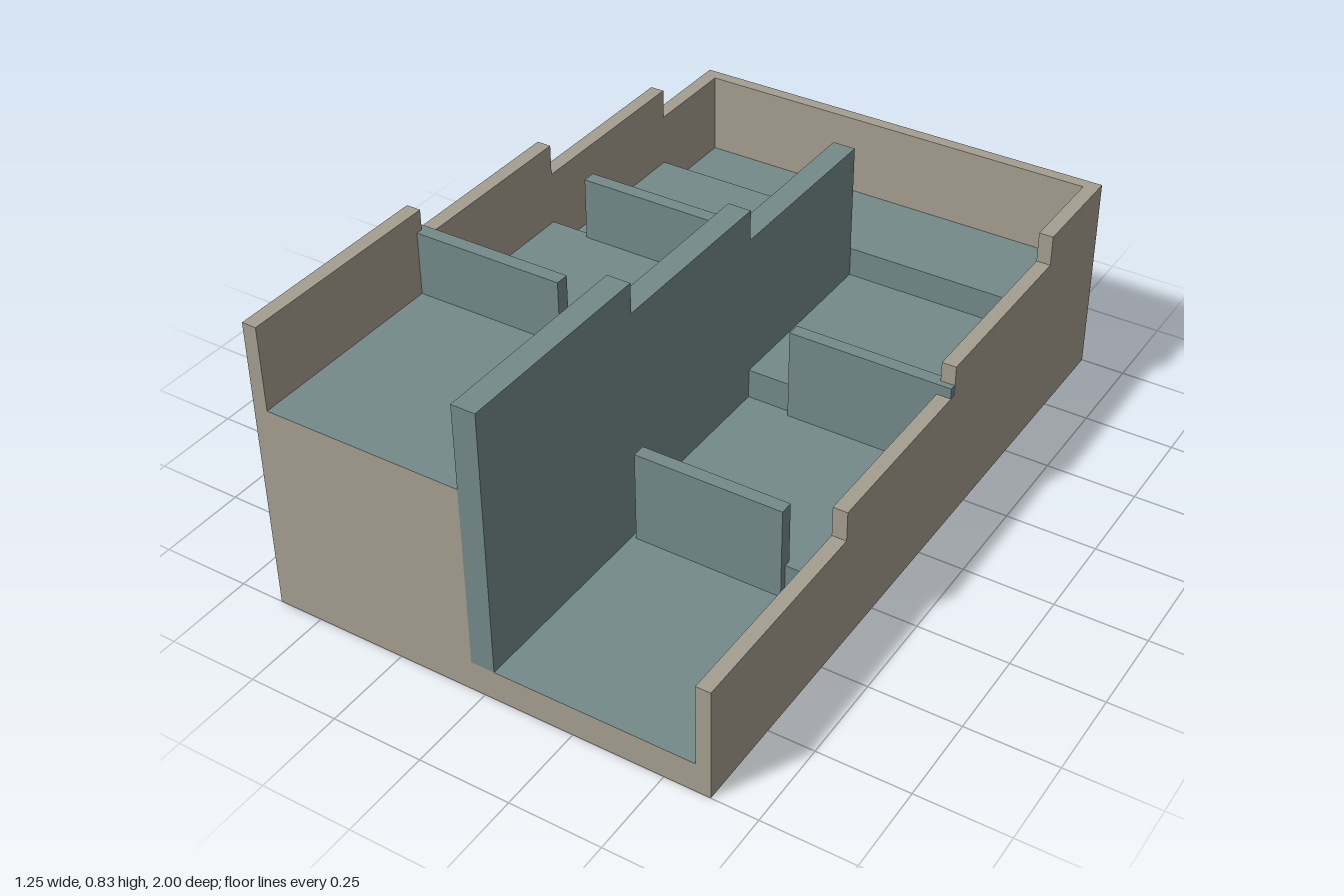
import * as THREE from 'three';

const stone = new THREE.MeshStandardMaterial({ color: 0xa59e8f });
stone.name = 'warm stone';
const teal = new THREE.MeshStandardMaterial({ color: 0x738a89 });
teal.name = 'grey teal';

// z positions where floors and walls step, from front to back
const STEPS = [1, 0.4, -0.143, -0.688, -1];
const OUT = 0.625, IN = 0.585, BACK = -0.965;
const MID_L = -0.035, MID_R = 0.031;

export function createModel() {
  const model = new THREE.Group();
  model.name = 'steppedTray';

  const box = (name, x0, x1, y0, y1, z0, z1, material) => {
    const geometry = new THREE.BoxGeometry(x1 - x0, y1 - y0, z1 - z0);
    const mesh = new THREE.Mesh(geometry, material);
    mesh.position.set((x0 + x1) / 2, (y0 + y1) / 2, (z0 + z1) / 2);
    mesh.name = name;
    model.add(mesh);
  };

  // Upright slab whose top edge follows the steps
  const steppedWall = (name, x0, x1, bottom, tops, material) => {
    const shape = new THREE.Shape();
    shape.moveTo(-STEPS[0], bottom);
    shape.lineTo(-STEPS[tops.length], bottom);
    for (let i = tops.length - 1; i >= 0; i--) {
      shape.lineTo(-STEPS[i + 1], tops[i]);
      shape.lineTo(-STEPS[i], tops[i]);
    }
    const geometry = new THREE.ExtrudeGeometry(shape, { depth: x1 - x0, bevelEnabled: false });
    geometry.rotateY(Math.PI / 2);
    geometry.translate(x0, 0, 0);
    const mesh = new THREE.Mesh(geometry, material);
    mesh.name = name;
    model.add(mesh);
  };

  // Outer walls and the central divider
  steppedWall('highSideWall', -OUT, -IN, 0, [0.835, 0.75, 0.663, 0.578], stone);
  steppedWall('lowSideWall', IN, OUT, 0, [0.32, 0.405, 0.491, 0.578], stone);
  box('backWall', -IN, IN, 0, 0.578, -1, BACK, stone);
  steppedWall('divider', MID_L, MID_R, 0.086, [0.835, 0.75, 0.663], teal);
  box('dividerFoot', MID_L, MID_R, 0, 0.086, STEPS[3], 1, stone);

  // Floors: teal tops and risers, stone on the open front face
  const floorFaces = (front) => [stone, stone, teal, stone, front, teal];
  const highFloors = [0.601, 0.516, 0.431];
  const lowFloors = [0.086, 0.172, 0.258];
  for (let i = 0; i < 3; i++) {
    const faces = floorFaces(i === 0 ? stone : teal);
    box('highFloor' + (i + 1), -IN, MID_L, 0, highFloors[i], STEPS[i + 1], STEPS[i], faces);
    box('lowFloor' + (i + 1), MID_R, IN, 0, lowFloors[i], STEPS[i + 1], STEPS[i], faces);
  }
  box('backFloor', -IN, IN, 0, 0.344, BACK, STEPS[3], floorFaces(teal));

  // Baffles standing on the steps; two of them run into the side walls
  box('highFrontBaffle', -OUT + 0.001, -0.165, 0.5, 0.778, 0.381, 0.419, teal);
  box('highRearBaffle', -0.465, -0.046, 0.42, 0.693, -0.163, -0.125, teal);
  box('lowFrontBaffle', 0.043, 0.462, 0.08, 0.35, 0.381, 0.419, teal);
  box('lowRearBaffle', 0.161, OUT - 0.001, 0.16, 0.435, -0.163, -0.125, teal);

  return model;
}
